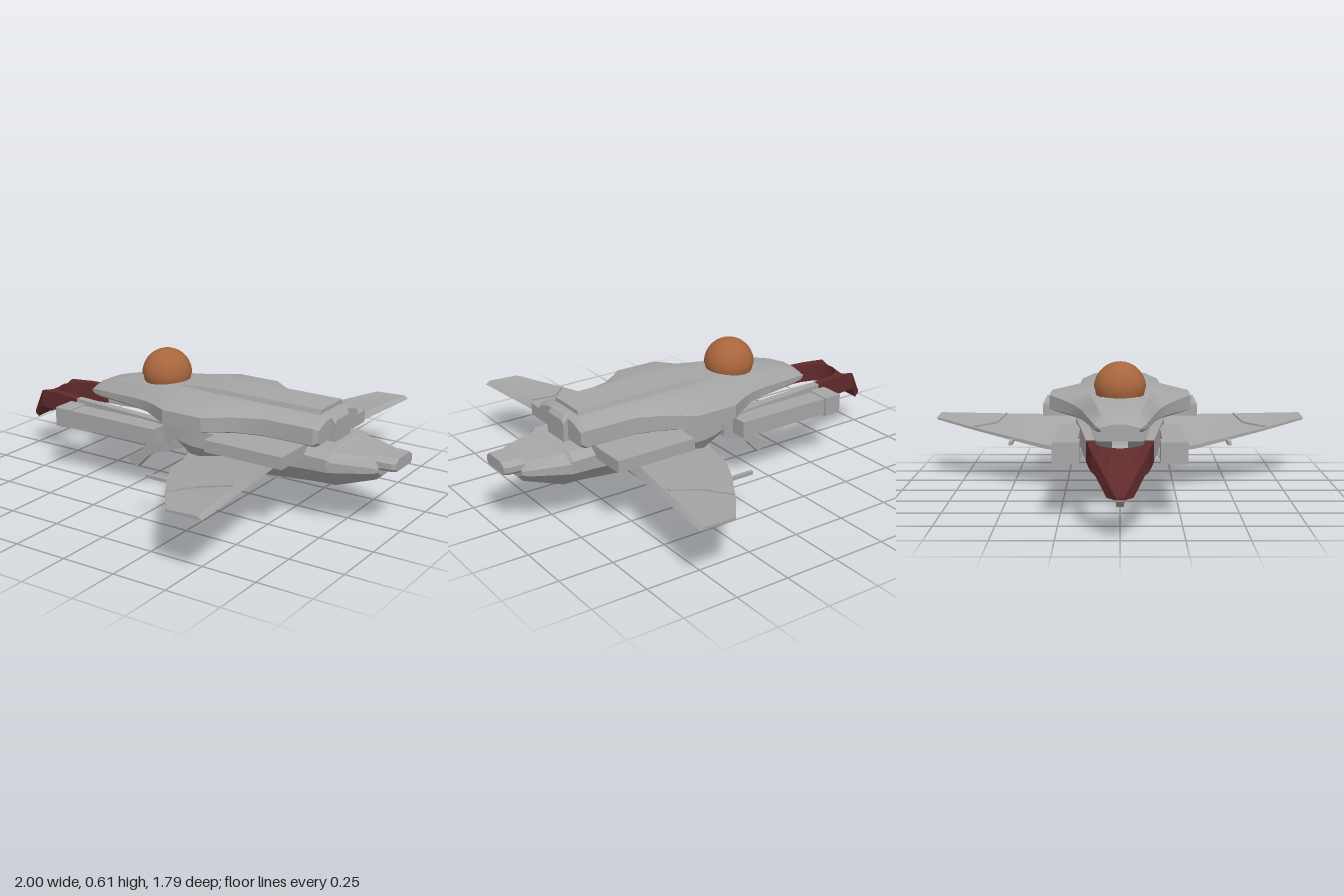
import * as THREE from 'three';
import { toCreasedNormals } from 'three/addons/utils/BufferGeometryUtils.js';

const mat = (name, color) => Object.assign(new THREE.MeshStandardMaterial({ color }), { name });

// Skin a row of equal-length convex rings, close both ends and face it outwards
function loft(rings, crease = 0.45) {
  const tris = [], n = rings[0].length;
  for (let i = 0; i < rings.length - 1; i++)
    for (let j = 0; j < n; j++) {
      const k = (j + 1) % n, a = rings[i], b = rings[i + 1];
      tris.push([a[j], b[j], b[k]], [a[j], b[k], a[k]]);
    }
  const first = rings[0], last = rings[rings.length - 1];
  for (let j = 1; j < n - 1; j++)
    tris.push([first[0], first[j], first[j + 1]], [last[0], last[j + 1], last[j]]);
  let volume = 0;
  const v = (p) => new THREE.Vector3(...p);
  for (const [a, b, c] of tris) volume += v(a).dot(v(b).cross(v(c)));
  if (volume < 0) tris.forEach((t) => t.reverse());
  const geo = new THREE.BufferGeometry();
  geo.setAttribute('position', new THREE.Float32BufferAttribute(tris.flat(2), 3));
  geo.computeVertexNormals();
  return toCreasedNormals(geo, crease);
}

// Symmetric cross-section at x from right-half points [z, y], bottom to top
const section = (x, half) => [
  ...half.map(([z, y]) => [x, y, z]),
  ...half.slice().reverse().map(([z, y]) => [x, y, -z]),
];

// Flat side profile [x, y] given a width across z
function plate(points, width) {
  const shape = new THREE.Shape(points.map((p) => new THREE.Vector2(...p)));
  return new THREE.ExtrudeGeometry(shape, { depth: width, bevelEnabled: false }).translate(0, 0, -width / 2);
}

export function createModel() {
  const model = new THREE.Group();
  const hull = mat('hull grey', 0xa6a6a6);
  const red = mat('dark red', 0x602a2b);
  const amber = mat('amber dome', 0xa8663d);
  const add = (name, geo, material, x = 0, y = 0, z = 0) => {
    const mesh = new THREE.Mesh(geo, material);
    mesh.name = name;
    mesh.position.set(x, y, z);
    model.add(mesh);
    return mesh;
  };
  const box = (name, x0, x1, y0, y1, z0, z1) =>
    add(name, new THREE.BoxGeometry(x1 - x0, y1 - y0, Math.abs(z1 - z0)), hull,
      (x0 + x1) / 2, (y0 + y1) / 2, (z0 + z1) / 2);

  // Upper shell: x, half width, bottom, rim top, shoulder half width, top
  add('upperShell', loft([
    [-0.577, 0.085, 0.355, 0.37, 0.05, 0.385],
    [-0.55, 0.105, 0.352, 0.38, 0.07, 0.405],
    [-0.5, 0.12, 0.352, 0.388, 0.08, 0.425],
    [-0.4, 0.14, 0.353, 0.395, 0.1, 0.447],
    [-0.28, 0.165, 0.355, 0.405, 0.12, 0.463],
    [-0.18, 0.2, 0.358, 0.415, 0.13, 0.47],
    [-0.09, 0.255, 0.36, 0.428, 0.15, 0.475],
    [0, 0.32, 0.365, 0.44, 0.18, 0.477],
    [0.2, 0.32, 0.365, 0.44, 0.18, 0.48],
    [0.25, 0.28, 0.365, 0.44, 0.165, 0.48],
    [0.32, 0.232, 0.362, 0.44, 0.145, 0.48],
    [0.43, 0.195, 0.36, 0.445, 0.13, 0.48],
    [0.67, 0.19, 0.36, 0.445, 0.125, 0.48],
    [0.69, 0.175, 0.37, 0.435, 0.115, 0.465],
  ].map(([x, w, yb, ys, ws, yt]) =>
    section(x, [[w * 0.9, yb], [w, yb + 0.012], [w, ys], [ws, yt - 0.006], [ws * 0.5, yt]]))), hull);

  // Raised spine along the back and the block that closes it
  add('spine', loft([[-0.08, 0.07, 0.478], [0.08, 0.09, 0.498], [0.655, 0.09, 0.498]]
    .map(([x, w, y]) => section(x, [[w + 0.012, 0.46], [w, y]]))), hull);
  add('spineEnd', loft([[0.655, 0.48], [0.695, 0.475], [0.712, 0.455]]
    .map(([x, y]) => section(x, [[0.068, 0.36], [0.068, y - 0.015], [0.055, y]]))), hull);

  // Main body: x, half width, bottom half width, bottom, waist, top
  add('fuselage', loft([
    [-0.16, 0.15, 0.1, 0.25, 0.29, 0.345],
    [-0.06, 0.19, 0.11, 0.22, 0.28, 0.36],
    [0.02, 0.2, 0.13, 0.18, 0.26, 0.365],
    [0.08, 0.2, 0.14, 0.15, 0.25, 0.365],
    [0.4, 0.19, 0.12, 0.165, 0.25, 0.355],
    [0.65, 0.18, 0.1, 0.18, 0.26, 0.35],
    [0.74, 0.185, 0.1, 0.183, 0.265, 0.345],
    [0.91, 0.115, 0.065, 0.235, 0.275, 0.335],
    [0.93, 0.1, 0.06, 0.255, 0.28, 0.33],
  ].map(([x, w, wb, yb, ym, yt]) =>
    section(x, [[wb, yb], [w, ym], [w, yt - 0.035], [w * 0.75, yt]])), 0.2), hull);
  add('rearCollar', loft([[0.63, 0.19, 0.355], [0.735, 0.19, 0.352], [0.75, 0.175, 0.342]]
    .map(([x, w, y]) => section(x, [[w, 0.285], [w, y - 0.03], [w - 0.04, y]])), 0.2), hull);
  add('tailNozzle', loft([[0.9, 0.095], [0.985, 0.088], [1, 0.075]]
    .map(([x, w]) => section(x, [[w - 0.01, 0.288], [w, 0.3], [w, 0.325], [w - 0.03, 0.341]])), 0.2), hull);

  // Dome on the nose: a cap above a slightly smaller seat
  const dome = (r, a, b) => new THREE.SphereGeometry(r, 32, 16, 0, Math.PI * 2, a, b);
  add('domeCap', dome(0.114, 0, Math.PI / 2), amber, -0.2, 0.497, 0);
  add('domeSeat', dome(0.11, Math.PI / 2, Math.PI / 2), amber, -0.2, 0.5, 0);

  // Forked prow: outer and inner plan points, with heights following x
  const lerp = THREE.MathUtils.mapLinear;
  const topY = (x) => (x > -0.86 ? 0.328 : lerp(x, -0.86, -1, 0.328, 0.168));
  const lowY = (x) => (x > -0.88 ? 0.24 : x > -0.95 ? lerp(x, -0.88, -0.95, 0.24, 0.16) : 0.156);
  const forkRing = ([xo, zo, xi, zi], s = 1) => [
    [xo, lowY(xo), s * zo], [xo, topY(xo), s * zo], [xi, topY(xi), s * zi], [xi, lowY(xi), s * zi],
  ];
  const prow = [
    [-0.63, 0.138, -0.63, 0.103], [-0.75, 0.126, -0.72, 0.095], [-0.865, 0.112, -0.775, 0.08],
    [-0.89, 0.095, -0.8, 0.062], [-0.95, 0.052, -0.822, 0.035], [-1, 0.018, -0.83, 0.012],
  ];
  add('forkProw', loft([
    ...prow.map((p) => forkRing(p)), ...prow.slice().reverse().map((p) => forkRing(p, -1)),
  ]), red);

  for (const s of [1, -1]) {
    const side = s > 0 ? 'left' : 'right';
    add(side + 'ForkArm', loft([
      [-0.63, 0.138, -0.63, 0.103], [-0.35, 0.163, -0.35, 0.125], [-0.03, 0.195, -0.03, 0.15],
    ].map((p) => forkRing(p, s))), hull);

    // Long side guns with thicker muzzles
    box(side + 'Gun', -0.56, -0.085, 0.24, 0.317, s * 0.175, s * 0.268);
    box(side + 'GunMuzzle', -0.64, -0.555, 0.232, 0.322, s * 0.165, s * 0.278);

    // Flat engine pod under the shell
    box(side + 'EnginePod', 0.25, 0.63, 0.312, 0.366, s * 0.12, s * 0.366);

    // Swept wing: z, leading x and low/high y, trailing x and low/high y
    const ribs = [
      [0.1, -0.01, 0.15, 0.18, 0.48, 0.235, 0.29],
      [0.2, 0.03, 0.16, 0.185, 0.5, 0.245, 0.29],
      [0.36, 0.075, 0.184, 0.202, 0.525, 0.25, 0.287],
      [0.5, 0.155, 0.207, 0.222, 0.543, 0.257, 0.286],
      [0.7, 0.285, 0.238, 0.25, 0.57, 0.264, 0.286],
      [0.895, 0.43, 0.27, 0.28, 0.598, 0.272, 0.286],
    ];
    add(side + 'Wing', loft(ribs.map(([z, xl, l0, l1, xt, t0, t1]) => [
      [xl, l0, s * z], [xl, l1, s * z], [xt - 0.02, t1, s * z], [xt, t0, s * z],
    ]), 0.3), hull);

    // Raised seam across the wing
    const seam = [[0.29, 0.253, 0.695], [0.38, 0.262, 0.6], [0.52, 0.286, 0.565]];
    add(side + 'WingSeam', loft(seam.map(([x, y, z]) => [
      [x, y - 0.01, s * (z - 0.006)], [x, y + 0.005, s * (z - 0.006)],
      [x, y + 0.005, s * (z + 0.006)], [x, y - 0.01, s * (z + 0.006)],
    ])), hull);

    // Small gun on the leading edge and a fin under the root
    box(side + 'WingGun', 0.05, 0.25, 0.2, 0.216, s * 0.497, s * 0.513);
    add(side + 'RootFin', plate([[0.05, 0.17], [0.06, 0.137], [0.1, 0.137], [0.28, 0.19]], 0.02),
      hull, 0, 0, s * 0.19);
  }

  // Chin gun and belly keel
  add('chinGunMount', plate([[-0.33, 0.23], [-0.25, 0.25], [-0.1, 0.25], [-0.08, 0.165],
    [-0.18, 0.125], [-0.25, 0.1], [-0.31, 0.17]].slice(1), 0.07), hull);
  add('chinGunBarrel', plate([[-0.43, 0.035], [-0.37, 0], [-0.31, 0.065], [-0.23, 0.125],
    [-0.28, 0.16], [-0.36, 0.075]], 0.036), hull);
  add('keel', plate([[-0.08, 0.26], [-0.08, 0.125], [-0.03, 0.125], [-0.03, 0.088], [0.15, 0.09],
    [0.3, 0.11], [0.34, 0.125], [0.36, 0.115], [0.42, 0.115], [0.42, 0.2], [0.1, 0.2]], 0.045), hull);
  return model;
}
